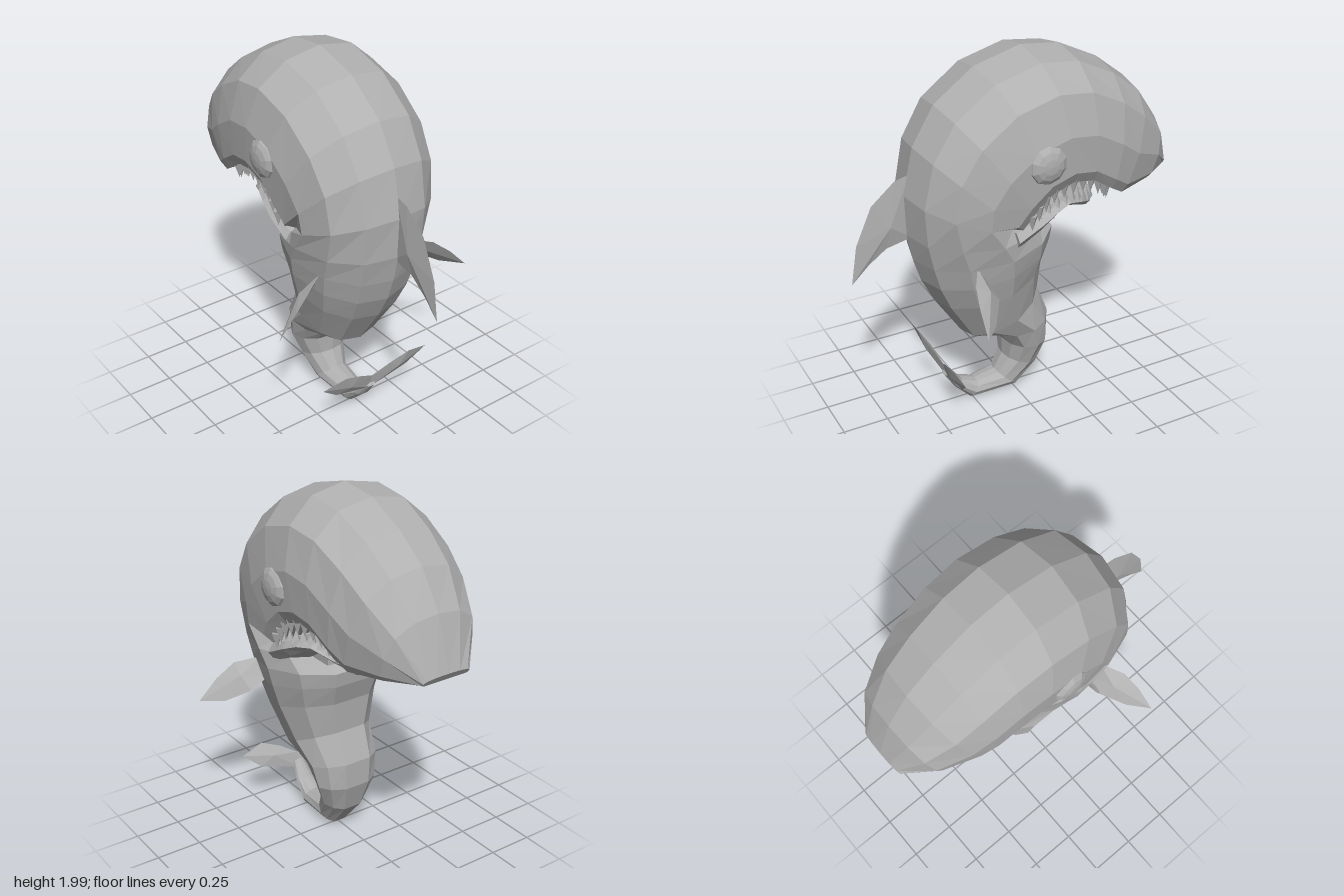
import * as THREE from 'three';

const skin = new THREE.MeshStandardMaterial({ color: 0xb0b0b0, flatShading: true, side: THREE.DoubleSide });
skin.name = 'grey skin';

// Half cross-section shapes as [depth from back to belly, share of half width]
const HEAD = [[0.06, 0.5], [0.25, 0.86], [0.58, 1], [0.9, 0.97], [1, 0.88]];
const BODY = [[0.06, 0.5], [0.25, 0.86], [0.55, 1], [0.82, 0.8], [1, 0.4]];
const JAW = [[0, 0.5], [0, 0.92], [0.3, 1], [0.7, 0.88], [1, 0.55]];

function geometryFrom(positions) {
  const g = new THREE.BufferGeometry();
  g.setAttribute('position', new THREE.Float32BufferAttribute(positions, 3));
  g.computeVertexNormals();
  return g;
}

// Skin through sections [back z, back y, belly z, belly y, half width, profile]
function loft(sections) {
  const rings = sections.map(([oz, oy, iz, iy, w, profile]) => {
    const at = (t, x) => [x * w, oy + (iy - oy) * t, oz + (iz - oz) * t];
    return [at(0, 0), ...profile.map(([t, x]) => at(t, x)), at(1, 0),
      ...profile.slice().reverse().map(([t, x]) => at(t, -x))];
  });
  const out = [];
  const n = rings[0].length;
  for (let i = 0; i < rings.length - 1; i++) {
    for (let j = 0; j < n; j++) {
      const k = (j + 1) % n;
      const a = rings[i][j], b = rings[i][k], c = rings[i + 1][j], d = rings[i + 1][k];
      out.push(...a, ...c, ...b, ...b, ...c, ...d);
    }
  }
  // End caps
  const first = rings[0], last = rings[rings.length - 1];
  for (let j = 1; j < n - 1; j++) {
    out.push(...first[0], ...first[j], ...first[j + 1]);
    out.push(...last[0], ...last[j + 1], ...last[j]);
  }
  return geometryFrom(out);
}

// Thin fin: an outline pinched around a thicker centre
function fin(outline, centre, half) {
  const c = new THREE.Vector3(...centre), h = new THREE.Vector3(...half);
  const pts = outline.map(p => new THREE.Vector3(...p));
  const out = [];
  for (const s of [1, -1]) {
    const apex = c.clone().addScaledVector(h, s);
    pts.forEach((p, i) => {
      const q = pts[(i + 1) % pts.length];
      const normal = p.clone().sub(apex).cross(q.clone().sub(apex));
      const [a, b] = normal.dot(h) * s > 0 ? [p, q] : [q, p];
      out.push(...apex.toArray(), ...a.toArray(), ...b.toArray());
    });
  }
  return geometryFrom(out);
}

export function createModel() {
  const model = new THREE.Group();
  const add = (name, geometry, parent = model) => {
    const mesh = new THREE.Mesh(geometry, skin);
    mesh.name = name;
    parent.add(mesh);
    return mesh;
  };
  const addPair = (name, geometry) => {
    add('left' + name, geometry);
    add('right' + name, geometry).scale.x = -1;
  };

  // Head, trunk and curled tail
  add('body', loft([
    [-0.89, 1.28, -0.865, 1.24, 0.14, HEAD],
    [-0.80, 1.55, -0.70, 1.235, 0.27, HEAD],
    [-0.67, 1.74, -0.50, 1.22, 0.34, HEAD],
    [-0.50, 1.87, -0.42, 1.27, 0.37, HEAD],
    [-0.28, 1.975, -0.30, 1.35, 0.39, HEAD],
    [-0.06, 2.0, -0.18, 1.37, 0.4, HEAD],
    [0.20, 1.93, -0.06, 1.33, 0.4, HEAD],
    [0.42, 1.77, 0.04, 1.24, 0.395, HEAD],
    [0.54, 1.57, 0.10, 1.16, 0.38, HEAD],
    [0.597, 1.32, 0.04, 1.12, 0.365, BODY],
    [0.59, 1.1, -0.10, 1.085, 0.355, BODY],
    [0.56, 0.95, -0.18, 1.03, 0.34, BODY],
    [0.52, 0.82, -0.17, 0.95, 0.32, BODY],
    [0.45, 0.68, -0.13, 0.83, 0.285, BODY],
    [0.30, 0.45, -0.12, 0.65, 0.225, BODY],
    [0.12, 0.40, -0.19, 0.48, 0.2, BODY],
    [0.05, 0.32, -0.19, 0.33, 0.18, BODY],
    [0.05, 0.22, -0.14, 0.17, 0.13, BODY],
    [0.10, 0.13, -0.02, 0.02, 0.09, BODY],
    [0.22, 0.11, 0.26, 0.01, 0.07, BODY],
    [0.31, 0.14, 0.35, 0.10, 0.055, BODY],
    [0.38, 0.23, 0.41, 0.19, 0.035, BODY],
  ]));

  // Arched lower jaw and the fold of throat beneath it
  add('lowerJaw', loft([
    [-0.445, 1.15, -0.41, 1.13, 0.1, JAW],
    [-0.40, 1.16, -0.365, 1.09, 0.17, JAW],
    [-0.30, 1.21, -0.29, 1.14, 0.25, JAW],
    [-0.19, 1.245, -0.20, 1.18, 0.3, JAW],
    [-0.10, 1.235, -0.12, 1.15, 0.33, JAW],
    [0.00, 1.20, -0.03, 1.09, 0.35, JAW],
    [0.13, 1.14, 0.12, 1.0, 0.35, JAW],
  ]));
  add('throat', new THREE.BoxGeometry(0.36, 0.09, 0.2)).position.set(0, 1.135, -0.07);

  // Rows of pointed teeth set around each jaw
  const teeth = (name, half, count, height, direction) => {
    const row = new THREE.Group();
    row.name = name;
    const mirrored = half.slice(0, -1).reverse().map(([x, y, z]) => [-x, y, z]);
    const curve = new THREE.CatmullRomCurve3([...half, ...mirrored].map(p => new THREE.Vector3(...p)));
    const cone = new THREE.ConeGeometry(0.031, height, 4);
    for (let i = 0; i < count; i++) {
      const tooth = add('tooth', cone, row);
      tooth.position.copy(curve.getPointAt((i + 0.5) / count));
      tooth.position.y += direction * (height / 2 - 0.012);
      if (direction < 0) tooth.rotation.x = Math.PI;
    }
    model.add(row);
  };
  teeth('upperTeeth', [[0.34, 1.2, 0.07], [0.34, 1.26, 0.02], [0.335, 1.335, -0.06], [0.33, 1.37, -0.18],
    [0.31, 1.35, -0.3], [0.27, 1.27, -0.42], [0.14, 1.225, -0.48], [0, 1.225, -0.5]], 30, 0.09, -1);
  teeth('lowerTeeth', [[0.31, 1.17, 0.07], [0.3, 1.2, 0], [0.29, 1.235, -0.1], [0.26, 1.24, -0.2],
    [0.21, 1.205, -0.3], [0.13, 1.16, -0.4], [0, 1.155, -0.42]], 24, 0.075, 1);

  // Bulging eyes
  const eye = new THREE.SphereGeometry(0.106, 10, 8);
  eye.rotateZ(Math.PI / 2).scale(0.43, 1, 1).translate(0.385, 1.515, -0.005);
  addPair('Eye', eye);

  // Dorsal fin
  add('dorsalFin', fin([[0, 1.43, 0.56], [0, 1.41, 0.64], [0, 1.3, 0.77], [0, 1.1, 0.86], [0, 0.89, 0.895],
    [0, 0.98, 0.8], [0, 1.05, 0.7], [0, 1.08, 0.56]], [0, 1.17, 0.68], [0.02, 0, 0]));

  // Side fins
  addPair('SideFin', fin([[0.27, 0.88, 0.27], [0.38, 0.83, 0.26], [0.5, 0.77, 0.34], [0.605, 0.76, 0.435],
    [0.5, 0.87, 0.425], [0.4, 0.95, 0.4], [0.28, 0.98, 0.33]], [0.4, 0.89, 0.335], [0.008, 0.014, -0.014]));

  // Tail flukes
  addPair('Fluke', fin([[0, 0.17, 0.39], [0.1, 0.2, 0.4], [0.24, 0.24, 0.41], [0.345, 0.33, 0.44],
    [0.21, 0.365, 0.46], [0.1, 0.32, 0.44], [0, 0.26, 0.41]], [0.16, 0.28, 0.425], [0, -0.008, 0.016]));

  return model;
}
